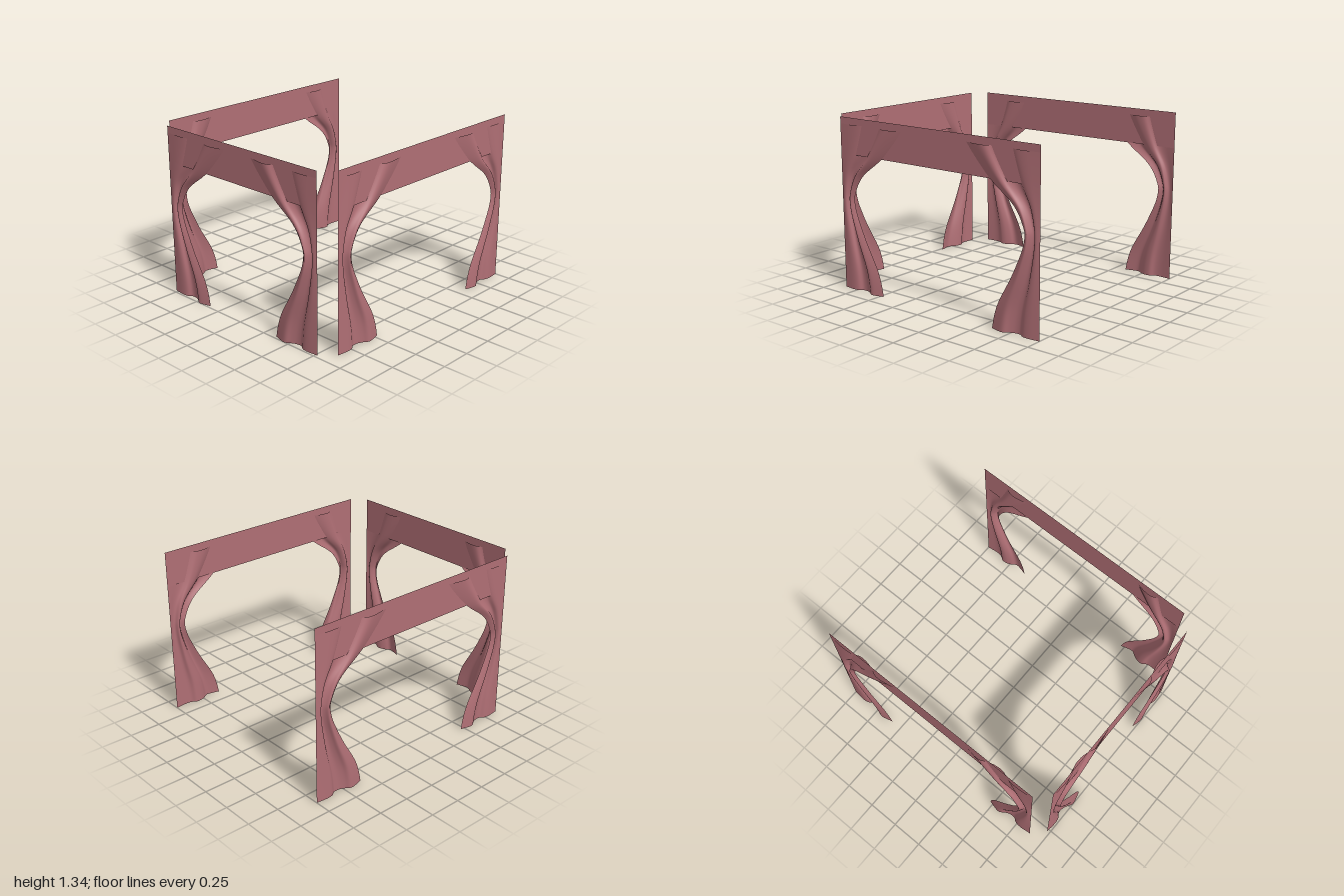
import * as THREE from 'three';

const material = new THREE.MeshStandardMaterial({ color: 0xb06f75, side: THREE.DoubleSide });
const spline = (points) => new THREE.SplineCurve(points.map(([a, b]) => new THREE.Vector2(a, b)));

// Width of a tied-back curtain at each height: (width, y)
const outline = spline([
  [0.41, 0], [0.39, 0.1], [0.35, 0.21], [0.255, 0.38], [0.192, 0.51], [0.147, 0.62], [0.13, 0.71],
  [0.142, 0.77], [0.185, 0.857], [0.255, 0.935], [0.42, 1.057], [0.563, 1.205], [0.632, 1.29],
]);

// Fold depth across the cloth, outer edge to inner edge: (u, depth)
const folds = spline([
  [0, 0], [0.1, 0.005], [0.2, 0.009], [0.29, 0.008], [0.36, 0], [0.42, -0.018], [0.48, -0.022],
  [0.56, -0.017], [0.65, 0], [0.71, 0.018], [0.77, 0.023], [0.86, 0.016], [1, 0],
]);

// Drape hanging straight on its outer edge and gathered at the waist
function makeDrape(side, halfWidth) {
  const geometry = new THREE.PlaneGeometry(1, 1, 36, 48);
  const pos = geometry.attributes.position;
  for (let i = 0; i < pos.count; i++) {
    const across = THREE.MathUtils.clamp(0.5 - side * pos.getX(i), 0, 1);
    const up = THREE.MathUtils.clamp(pos.getY(i) + 0.5, 0, 1);
    const row = outline.getPoint(up);
    const fold = folds.getPoint(across);
    pos.setXYZ(i, side * (halfWidth - fold.x * row.x), row.y, fold.y);
  }
  geometry.computeVertexNormals();
  const drape = new THREE.Mesh(geometry, material);
  drape.name = side > 0 ? 'leftDrape' : 'rightDrape';
  return drape;
}

// Flat valance with a mirrored pair of drapes
function makeCurtainSet(name, width) {
  const set = new THREE.Group();
  set.name = name;
  const valance = new THREE.Mesh(new THREE.PlaneGeometry(width, 0.28), material);
  valance.name = 'valance';
  valance.position.y = 1.202;
  set.add(valance);
  for (const side of [-1, 1]) set.add(makeDrape(side, width / 2));
  return set;
}

export function createModel() {
  const model = new THREE.Group();
  model.name = 'curtains';

  const front = makeCurtainSet('frontCurtains', 1.54);
  front.position.z = 0.977;
  model.add(front);

  // Side sets face outwards
  for (const side of [-1, 1]) {
    const set = makeCurtainSet(side > 0 ? 'leftCurtains' : 'rightCurtains', 1.88);
    set.rotation.y = side * Math.PI / 2;
    set.position.set(side * 0.87, 0, -0.06);
    model.add(set);
  }
  return model;
}
